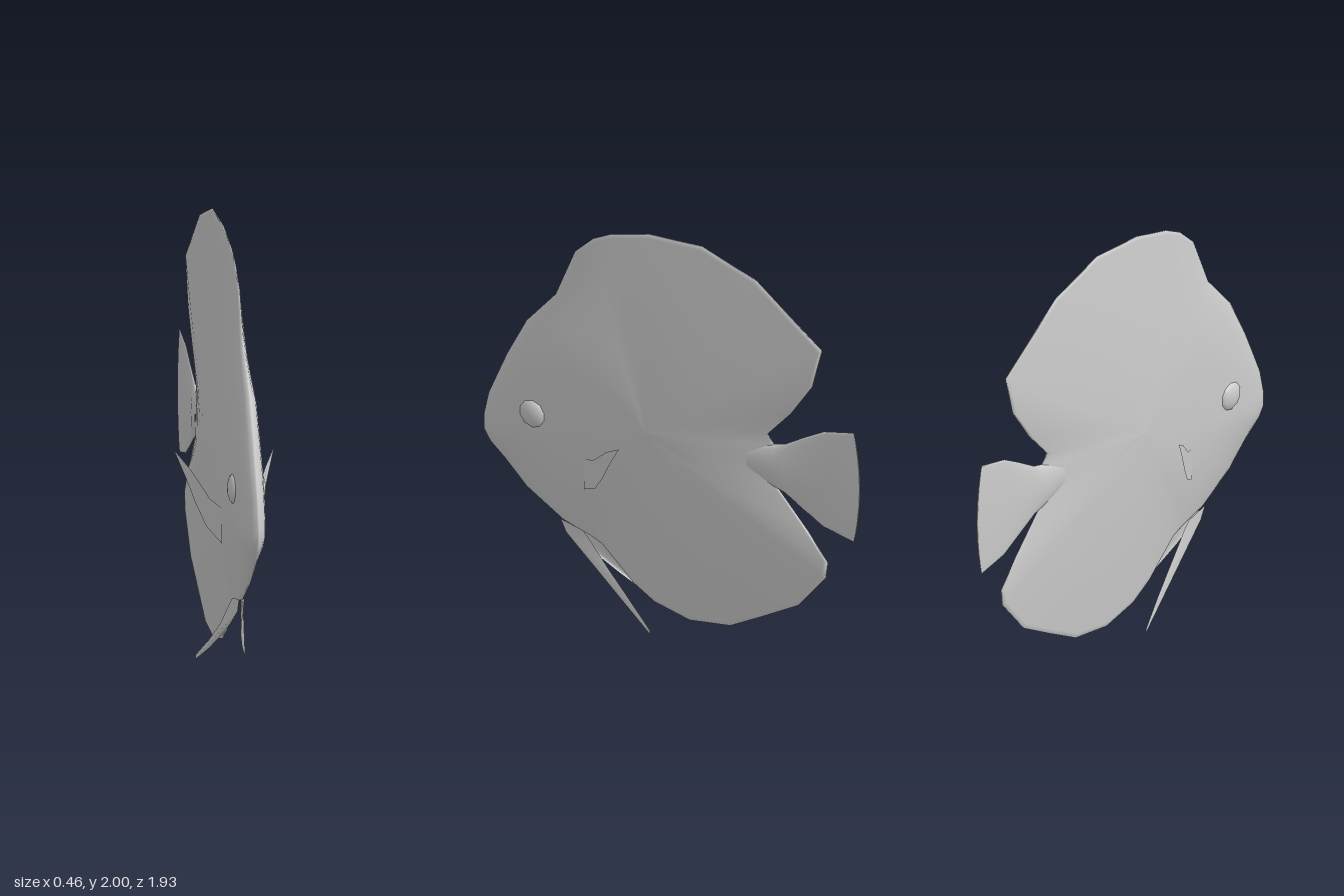
import * as THREE from 'three';

const grey = new THREE.MeshStandardMaterial({ color: 0xcccccc });
grey.name = 'pale grey';
const greyThin = grey.clone();
greyThin.name = 'pale grey thin';
greyThin.side = THREE.DoubleSide;

const MID = 0.005; // the body sits slightly off the centre line

// Skin a list of closed rings of [x, y, z] points
function loft(rings) {
  const n = rings[0].length, index = [];
  for (let i = 0; i < rings.length - 1; i++) {
    for (let j = 0; j < n; j++) {
      const a = i * n + j, b = i * n + (j + 1) % n;
      index.push(a, b, a + n, b, b + n, a + n);
    }
  }
  const geo = new THREE.BufferGeometry();
  geo.setAttribute('position', new THREE.Float32BufferAttribute(rings.flat(2), 3));
  geo.setIndex(index);
  geo.computeVertexNormals();
  return geo;
}

// Disc body: outline points [z, y, roundness of the edge]
function bodyGeometry() {
  const outline = [
    [0.97, 0.8, 8], [0.945, 0.92, 8], [0.9, 1.03, 8], [0.85, 1.15, 7], [0.75, 1.35, 6],
    [0.6, 1.53, 4], [0.5, 1.78, 2.2], [0.41, 1.87, 1.7], [0.32, 1.92, 1.5],
    [0.12, 1.98, 1.5], [-0.15, 2.0, 1.5], [-0.43, 1.91, 1.5], [-0.77, 1.65, 1.4],
    [-0.72, 1.45, 1.5], [-0.61, 1.28, 1.6], [-0.49, 1.14, 2], [-0.52, 1.1, 2],
    [-0.53, 1.0, 2], [-0.54, 0.88, 2], [-0.7, 0.7, 1.5], [-0.8, 0.57, 1.4],
    [-0.79, 0.49, 1.4], [-0.65, 0.31, 1.5], [-0.47, 0.2, 1.5], [-0.3, 0.1, 1.5],
    [-0.09, 0.065, 1.5], [0.09, 0.105, 1.5], [0.2, 0.17, 1.6], [0.36, 0.32, 2],
    [0.42, 0.345, 2.2], [0.56, 0.385, 2.8], [0.75, 0.5, 4], [0.86, 0.61, 5],
    [0.94, 0.68, 7], [0.97, 0.73, 8],
  ];
  const cz = 0.1, cy = 1.0;
  const steps = [0, 0.2, 0.4, 0.6, 0.75, 0.87, 0.94, 0.98, 1];
  const ring = (t, side) => outline.map(([z, y, p]) => {
    const q = THREE.MathUtils.clamp(1.2 - p * 0.1, 0.6, 1);
    const h = 0.004 + 0.062 * Math.pow(1 - Math.pow(t, p), q);
    return [MID + side * h, cy + (y - cy) * t, cz + (z - cz) * t];
  });
  return loft([
    ...steps.map(t => ring(t, 1)),
    ...steps.slice().reverse().map(t => ring(t, -1)),
  ]);
}

// Tail: stations [z, bottom, top, half thickness, backward bow of the edge]
function tailGeometry() {
  const stations = [
    [-0.4, 0.92, 1.07, 0.03, 0], [-0.53, 0.88, 1.1, 0.025, 0],
    [-0.58, 0.865, 1.115, 0.018, 0], [-0.68, 0.805, 1.18, 0.011, 0.01],
    [-0.78, 0.75, 1.24, 0.008, 0.02], [-0.935, 0.72, 1.28, 0.004, 0.03],
    [-0.935, 0.72, 1.28, 0, 0.03],
  ];
  const n = 20;
  return loft(stations.map(([z, lo, hi, h, bow]) =>
    Array.from({ length: n }, (_, k) => {
      const a = k / n * Math.PI * 2, v = Math.cos(a);
      return [MID + h * Math.sin(a), (lo + hi) / 2 + v * (hi - lo) / 2, z - bow * (1 - v * v)];
    })));
}

// Thin fin drawn in side view as [z, y], swept outwards by a rule x(z)
function finGeometry(points, spread, side) {
  const geo = new THREE.ShapeGeometry(new THREE.Shape(points.map(p => new THREE.Vector2(...p))));
  const pos = geo.attributes.position;
  for (let i = 0; i < pos.count; i++) {
    const z = pos.getX(i), y = pos.getY(i);
    pos.setXYZ(i, MID + side * spread(z), y, z);
  }
  geo.computeVertexNormals();
  return geo;
}

export function createModel() {
  const model = new THREE.Group();
  model.name = 'discFish';
  const add = (name, geo, mat = grey) => {
    const mesh = new THREE.Mesh(geo, mat);
    mesh.name = name;
    model.add(mesh);
    return mesh;
  };

  add('body', bodyGeometry());
  add('tailFin', tailGeometry());

  const pectoral = [[0.42, 0.77], [0.42, 0.61], [0.33, 0.67], [0.27, 0.76], [0.21, 0.87],
    [0.14, 0.985], [0.24, 0.91], [0.35, 0.8]];
  const pelvic = [[0.57, 0.39], [0.54, 0.33], [0.42, 0.245], [0.3, 0.165], [0.18, 0.085],
    [0.05, 0.005], [0.05, 0.025], [0.18, 0.125], [0.3, 0.225], [0.42, 0.345], [0.45, 0.37]];

  for (const [label, side] of [['left', 1], ['right', -1]]) {
    add(label + 'PectoralFin',
      finGeometry(pectoral, z => 0.06 + (0.42 - z) * 0.6, side), greyThin);
    add(label + 'PelvicFin',
      finGeometry(pelvic, z => 0.012 + 0.1 * Math.pow(Math.max(0, 0.57 - z) / 0.52, 1.7), side), greyThin);
    // Bulging eye
    const eye = add(label + 'Eye', new THREE.SphereGeometry(1, 10, 8).rotateZ(Math.PI / 2));
    eye.scale.set(0.035, 0.073, 0.07);
    eye.position.set(MID + side * 0.051, 0.92, 0.685);
  }
  return model;
}
